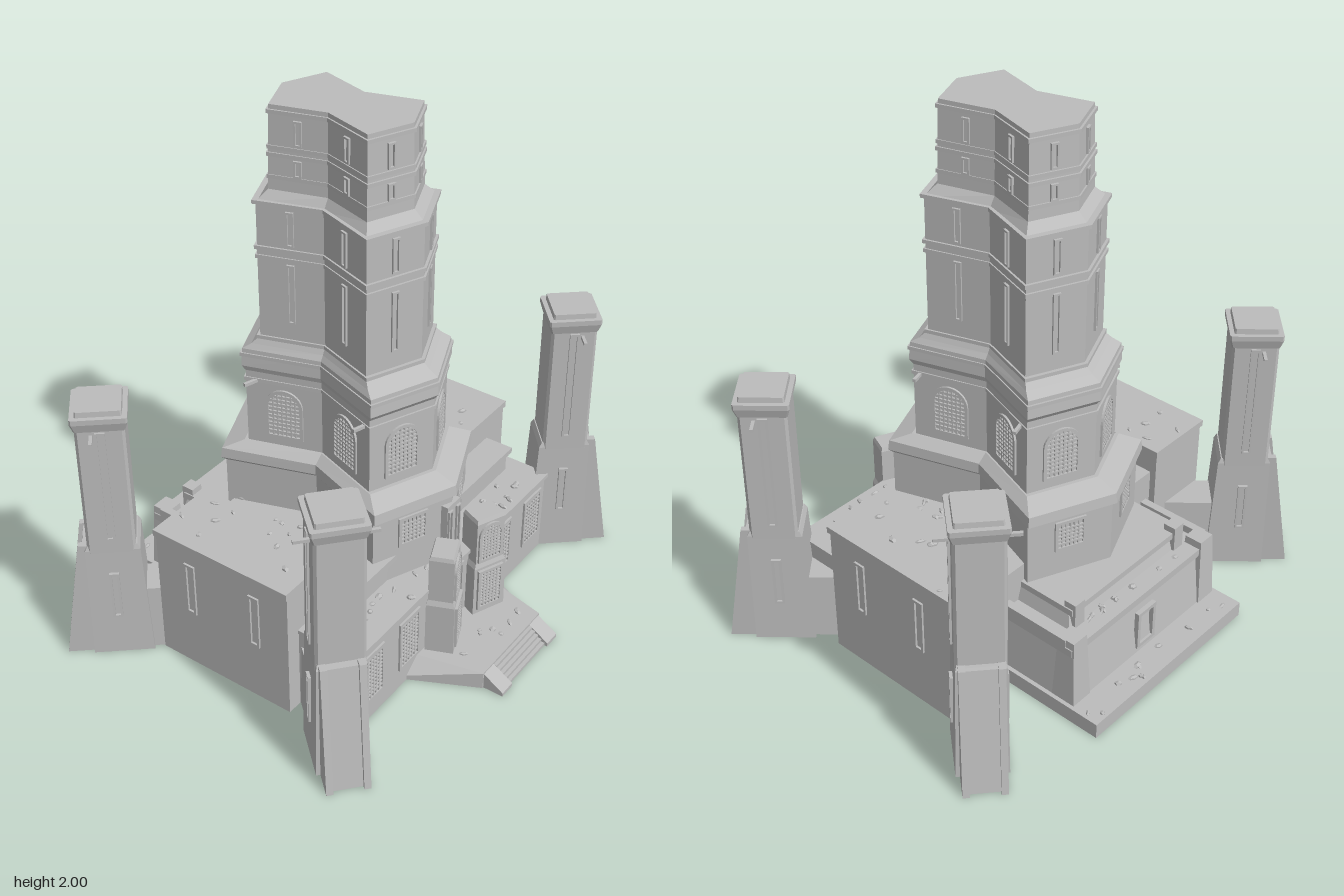
import * as THREE from 'three';

const stone = new THREE.MeshStandardMaterial({ color: 0xbcbcbc });
stone.name = 'weathered stone';

const ZC = -0.035; // centre of the keep along z

function add(parent, name, geo, x = 0, y = 0, z = 0, ry = 0) {
  const m = new THREE.Mesh(geo, stone);
  m.name = name;
  m.position.set(x, y, z);
  m.rotation.y = ry;
  parent.add(m);
  return m;
}

// Box given by its extents
function block(parent, name, x0, x1, y0, y1, z0, z1) {
  return add(parent, name, new THREE.BoxGeometry(x1 - x0, y1 - y0, z1 - z0),
    (x0 + x1) / 2, (y0 + y1) / 2, (z0 + z1) / 2);
}

// Flat-faced solid through rings of [x, z] points at rising heights
function loft(rings) {
  const pos = [];
  const tri = (...p) => p.forEach(v => pos.push(...v));
  const at = (r, i) => { const p = r.pts[i % r.pts.length]; return [p[0], r.y, p[1]]; };
  const centre = r => {
    const s = r.pts.reduce((a, p) => [a[0] + p[0], a[1] + p[1]], [0, 0]);
    return [s[0] / r.pts.length, r.y, s[1] / r.pts.length];
  };
  const n = rings[0].pts.length, last = rings[rings.length - 1];
  for (let i = 0; i < n; i++) {
    for (let k = 0; k < rings.length - 1; k++) {
      const a = at(rings[k], i), b = at(rings[k], i + 1);
      const c = at(rings[k + 1], i + 1), d = at(rings[k + 1], i);
      tri(a, b, c, a, c, d);
    }
    tri(centre(last), at(last, i), at(last, i + 1));
    tri(centre(rings[0]), at(rings[0], i + 1), at(rings[0], i));
  }
  const g = new THREE.BufferGeometry();
  g.setAttribute('position', new THREE.Float32BufferAttribute(pos, 3));
  g.computeVertexNormals();
  return g;
}

const rect = (y, x0, x1, z0, z1) => ({ y, pts: [[x0, z1], [x1, z1], [x1, z0], [x0, z0]] });

// Square with cut corners
function chamfered(y, a, c) {
  const b = a - c;
  return { y, pts: [[-b, a], [b, a], [a, b], [a, -b], [b, -a], [-b, -a], [-a, -b], [-a, b]] };
}

// Waisted eight-sided plan of the keep
function plan(y, w, t) {
  const c = t - 0.43 * w, q = 0.63 * w;
  const half = [[0, t], [w, c], [q, 0], [w, -c]];
  return { y, pts: [...half, ...half.map(([x, z]) => [-x, -z])].map(([x, z]) => [x, z + ZC]) };
}

function opening(w, h, arched, Type) {
  const s = new Type(), r = w / 2;
  s.moveTo(-r, 0);
  s.lineTo(r, 0);
  if (arched) s.absarc(0, h - r, r, 0, Math.PI, false);
  else { s.lineTo(r, h); s.lineTo(-r, h); }
  s.closePath();
  return s;
}

// Framed opening, its sill at the group origin, with an optional lattice
function makeWindow(parent, name, x, y, z, ry, w, h, { arched = false, cols = 0, rim = 0.012 } = {}) {
  const g = new THREE.Group();
  g.name = name;
  g.position.set(x, y, z);
  g.rotation.y = ry;
  parent.add(g);
  const shape = opening(w, h, arched, THREE.Shape);
  const iw = w - 2 * rim, ih = h - 2 * rim, r = iw / 2;
  const hole = opening(iw, ih, arched, THREE.Path);
  shape.holes.push(new THREE.Path(hole.getPoints(8).map(p => new THREE.Vector2(p.x, p.y + rim))));
  add(g, 'windowFrame', new THREE.ExtrudeGeometry(shape, { depth: 0.018, bevelEnabled: false, curveSegments: 8 }), 0, 0, -0.01);
  if (!cols) return;
  const step = iw / cols, spring = ih - r;
  for (let i = 1; i < cols; i++) {
    const bx = -r + i * step;
    const bh = arched ? spring + Math.sqrt(r * r - bx * bx) : ih;
    add(g, 'latticeBar', new THREE.BoxGeometry(0.006, bh, 0.008), bx, rim + bh / 2, 0.002);
  }
  for (let by = step; by < ih - 0.005; by += step) {
    const hw = arched && by > spring ? Math.sqrt(Math.max(0, r * r - (by - spring) ** 2)) : r;
    add(g, 'latticeBar', new THREE.BoxGeometry(2 * hw, 0.006, 0.008), 0, rim + by, 0.003);
  }
}

// Calls fn(x, z, angle) at the middle of each wall of the keep
function eachWall(w, t, fn) {
  const p = plan(0, w, t).pts;
  p.forEach((a, i) => {
    const b = p[(i + 1) % p.length];
    fn((a[0] + b[0]) / 2, (a[1] + b[1]) / 2, Math.atan2(a[1] - b[1], b[0] - a[0]));
  });
}

function buildKeep(root) {
  const g = new THREE.Group();
  g.name = 'keep';
  root.add(g);
  const profile = [[0, .30, .455], [.62, .30, .455], [.63, .312, .475], [.67, .308, .47], [.70, .25, .385],
    [.70, .24, .37], [1.0, .24, .37], [1.02, .25, .385], [1.09, .245, .38], [1.11, .225, .345],
    [1.14, .203, .312], [1.66, .203, .312], [1.70, .165, .27], [2.0, .157, .262]];
  add(g, 'keepWalls', loft(profile.map(p => plan(...p))));
  // Raised courses around the keep
  const bands = [[.96, .246, .377], [1.06, .253, .389], [1.13, .213, .325], [1.45, .21, .32], [1.485, .213, .322],
    [1.655, .214, .325], [1.74, .168, .274], [1.82, .168, .274], [1.845, .166, .272], [1.97, .166, .271]];
  bands.forEach(([y, w, t]) => add(g, 'stringCourse', loft([plan(y, w, t), plan(y + 0.014, w, t)])));

  // Lower windows sit only on the walls facing front and back
  eachWall(.30, .455, (x, z, a) => {
    if (Math.abs(Math.cos(a)) > .7) makeWindow(g, 'lowerWindow', x, .48, z, a, .12, .125, { cols: 6 });
  });
  eachWall(.24, .37, (x, z, a) => makeWindow(g, 'archedWindow', x, .735, z, a, .14, .205, { arched: true, cols: 7 }));
  const slits = [[1.21, .23, .203, .312], [1.51, .13, .203, .312], [1.755, .06, .162, .268], [1.865, .09, .159, .265]];
  slits.forEach(([y, h, w, t]) =>
    eachWall(w, t, (x, z, a) => makeWindow(g, 'slitWindow', x, y, z, a, .028, h, { rim: .007 })));
  // Stubs projecting from the corners
  for (const s of [-1, 1]) for (const z of [.2, -.27])
    add(g, 'wallStub', new THREE.BoxGeometry(.06, .012, .012), s * .25, .965, z, s * .3);
}

function buildCornerTower(root, sx, sz) {
  const g = new THREE.Group();
  g.name = 'cornerTower';
  g.position.set(sx * .735, 0, sz > 0 ? .45 : -.535);
  g.rotation.y = Math.atan2(sx * .135, sz * .153); // local +z points outward
  root.add(g);
  add(g, 'towerBase', loft([rect(0, -.092, .092, -.12, .1), rect(.47, -.085, .085, -.1, .095), rect(.49, -.08, .08, -.09, .085)]));
  add(g, 'buttress', loft([rect(0, -.07, .07, 0, .18), rect(.48, -.07, .07, 0, .105)]));
  for (const s of [-1, 1])
    add(g, 'buttressRib', loft([rect(0, s * .065 - .012, s * .065 + .012, 0, .195), rect(.49, s * .065 - .012, s * .065 + .012, 0, .118)]));
  add(g, 'connectingWall', loft([rect(0, -.075, .075, -.38, -.08), rect(.27, -.07, .07, -.38, -.08)]));
  add(g, 'towerShaft', loft([chamfered(.46, .086, .01), chamfered(1.0, .085, .01)]));
  add(g, 'towerCap', loft([chamfered(.985, .087, .006), chamfered(1.02, .097, .006), chamfered(1.04, .097, .006),
    chamfered(1.04, .08, .005), chamfered(1.06, .078, .005)]));
  for (const s of [-1, 1]) {
    makeWindow(g, 'towerSlit', s * .085, .52, 0, s * Math.PI / 2, .035, .46, { rim: .008 });
    makeWindow(g, 'baseSlit', s * .09, .17, 0, s * Math.PI / 2, .035, .2, { rim: .008 });
    add(g, 'towerStub', new THREE.BoxGeometry(.06, .012, .012), s * .11, .965, .03);
  }
}

function buildHalls(root) {
  // Low front hall, raised terrace and tall side halls
  block(root, 'frontHall', -.63, .63, 0, .335, -.3, .455);
  block(root, 'frontHallCoping', -.635, .635, .33, .345, -.3, .465);
  block(root, 'terrace', -.56, .56, .3, .42, -.34, .315);
  block(root, 'terraceCoping', -.575, .575, .425, .445, -.34, .33);
  block(root, 'terraceLip', -.565, .565, .41, .43, -.34, .322);
  for (const s of [-1, 1]) {
    const e = (a, b) => s > 0 ? [a, b] : [-b, -a];
    block(root, 'sideHall', ...e(.42, .69), 0, .53, -.365, .215);
    block(root, 'sideHallRoof', ...e(.415, .70), .525, .55, -.37, .22);
    for (const z of [.07, -.215])
      makeWindow(root, 'sideSlit', s * .69, .24, z, s * Math.PI / 2, .045, .22, { rim: .01 });
    for (const x of [.31, .53])
      makeWindow(root, 'frontWindow', s * x, .085, .455, 0, .125, .215, { cols: 6 });
  }
}

function buildEntrance(root) {
  const g = new THREE.Group();
  g.name = 'entrance';
  root.add(g);
  // Flared landing with cheeks beside the steps
  const landing = (y, k) => ({ y, pts: [[-.195, .7], [.195, .7], [.325 - k, .44], [-.325 + k, .44]] });
  add(g, 'landing', loft([landing(0, 0), landing(.015, 0), landing(.07, .07)]));
  for (const s of [-1, 1]) {
    const [a, b] = s > 0 ? [.125, .19] : [-.19, -.125];
    add(g, 'stepCheek', loft([rect(0, a, b, .66, .78), rect(.015, a, b, .66, .78), rect(.07, a, b, .66, .69)]));
  }
  for (let i = 0; i < 5; i++)
    block(g, 'step', -.125, .125, 0, .012 * (i + 1), .66, .768 - i * .014);
  // Twin gate pylons turned slightly towards the steps
  for (const s of [-1, 1]) {
    const p = new THREE.Group();
    p.name = 'gatePylon';
    p.position.set(s * .13, 0, .48);
    p.rotation.y = -s * .4;
    g.add(p);
    add(p, 'pylonBody', loft([rect(.05, -.07, .07, -.05, .055), rect(.28, -.068, .068, -.05, .052),
      rect(.30, -.06, .06, -.045, .046), rect(.48, -.06, .06, -.045, .046), rect(.495, -.055, .055, -.04, .04)]));
    makeWindow(p, 'pylonWindow', 0, .09, .055, 0, .11, .18, { cols: 6 });
    makeWindow(p, 'pylonArch', 0, .305, .046, 0, .105, .17, { arched: true, cols: 6 });
  }
  makeWindow(g, 'doorway', 0, .17, .457, 0, .065, .15, { rim: .012 });
  block(g, 'doorPier', -.04, .04, .33, .59, .33, .43);
  for (const x of [-.025, .025]) makeWindow(g, 'pierSlit', x, .4, .43, 0, .025, .17, { rim: .006 });
}

function buildRearPlinth(root) {
  const g = new THREE.Group();
  g.name = 'rearPlinth';
  root.add(g);
  block(g, 'plinthSlab', -.42, .42, 0, .06, -.785, -.3);
  add(g, 'lowerStage', loft([rect(.05, -.405, .405, -.665, -.3), rect(.27, -.385, .385, -.635, -.3)]));
  block(g, 'lowerCoping', -.4, .4, .27, .3, -.65, -.3);
  add(g, 'upperStage', loft([rect(.28, -.33, .33, -.58, -.3), rect(.35, -.31, .31, -.56, -.3)]));
  block(g, 'upperCoping', -.31, .31, .35, .375, -.575, -.3);
  for (const s of [-1, 1]) {
    add(g, 'cornerPost', loft([rect(.05, -.045, .045, -.05, .05), rect(.33, -.035, .035, -.035, .035)]), s * .36, 0, -.62);
    add(g, 'upperPost', new THREE.BoxGeometry(.05, .13, .05), s * .28, .335, -.56);
    block(g, 'sideParapet', s * .385 - .015, s * .385 + .015, .29, .33, -.62, -.33);
  }
  makeWindow(g, 'rearPanel', 0, .08, -.66, Math.PI, .1, .16, { rim: .015 });
}

// Fallen stones scattered over the roofs
function buildRubble(root) {
  let seed = 7;
  const rnd = () => (seed = (seed * 16807) % 2147483647) / 2147483647;
  const g = new THREE.Group();
  g.name = 'rubble';
  root.add(g);
  const chip = new THREE.DodecahedronGeometry(1, 0);
  const areas = [[.27, .41, -.33, .2, .445, 26], [-.41, -.27, -.33, .2, .445, 12], [.43, .68, -.35, .2, .55, 9],
    [-.68, -.43, -.35, .2, .55, 9], [-.55, .55, .34, .45, .345, 34], [-.38, .38, -.62, -.58, .3, 12],
    [-.4, .4, -.77, -.69, .06, 12], [-.2, .2, .57, .66, .07, 7]];
  for (const [x0, x1, z0, z1, y, n] of areas) for (let i = 0; i < n; i++) {
    const m = add(g, 'fallenStone', chip, x0 + rnd() * (x1 - x0), y + .003, z0 + rnd() * (z1 - z0), rnd() * 6);
    m.scale.set(.008 + rnd() * .014, .004 + rnd() * .007, .006 + rnd() * .008);
  }
}

export function createModel() {
  const root = new THREE.Group();
  root.name = 'ruinedFortress';
  buildHalls(root);
  buildKeep(root);
  for (const sx of [-1, 1]) for (const sz of [-1, 1]) buildCornerTower(root, sx, sz);
  buildEntrance(root);
  buildRearPlinth(root);
  buildRubble(root);
  return root;
}
